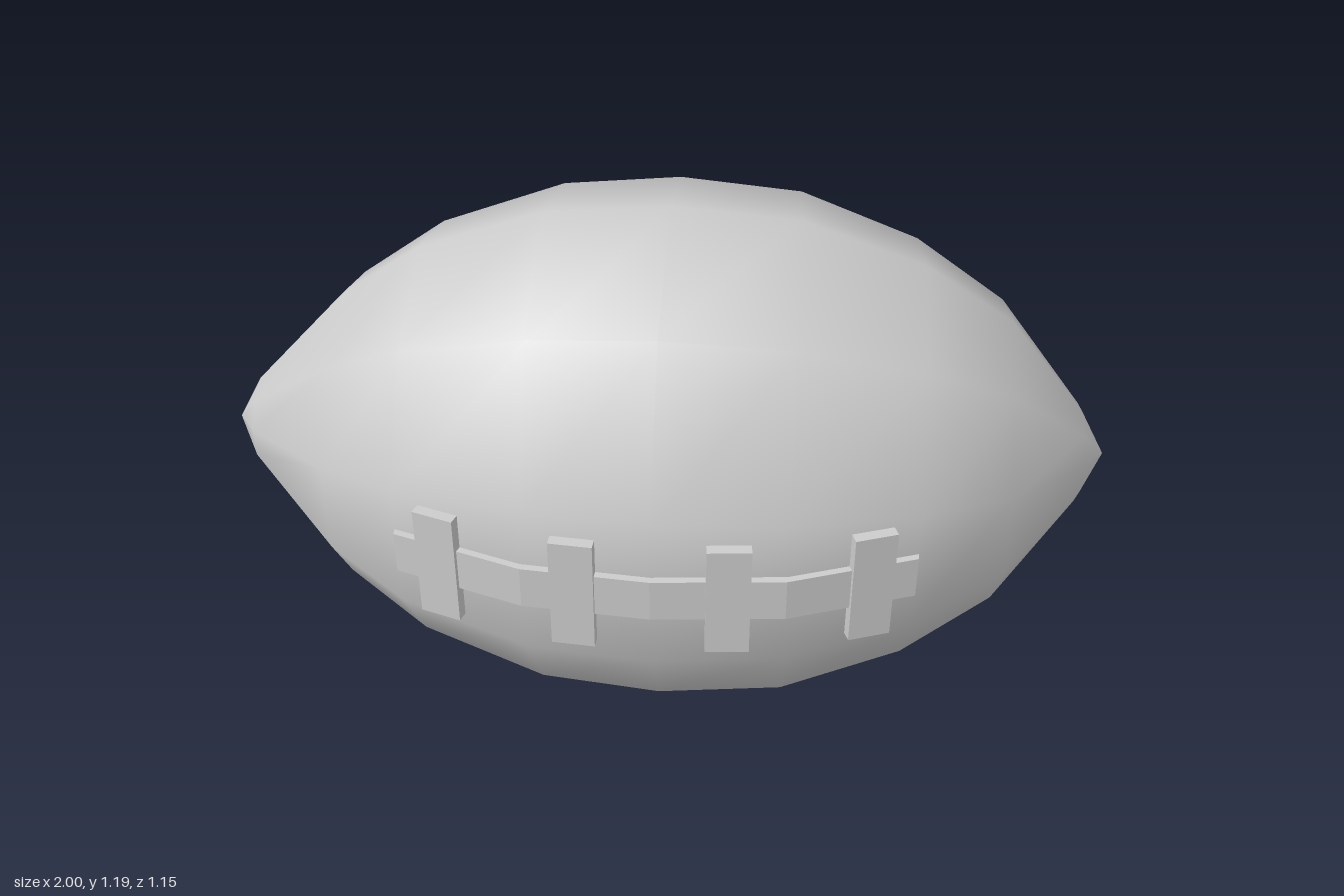
import * as THREE from 'three';

const CENTER_Y = 0.601;
const CENTER_Z = -0.007;
const SIDES = 10;

// Body stations: position along x, radius
const PROFILE = [
  [-1, 0], [-0.94, 0.11], [-0.72, 0.35], [-0.54, 0.475], [-0.26, 0.573], [0.01, 0.597],
  [0.29, 0.573], [0.56, 0.475], [0.76, 0.342], [0.94, 0.112], [1, 0],
];

// Depth of the flat front facet at a given x
function facetZ(x) {
  const i = Math.max(1, PROFILE.findIndex(([px]) => px >= x));
  const [x0, r0] = PROFILE[i - 1];
  const [x1, r1] = PROFILE[i];
  const r = THREE.MathUtils.lerp(r0, r1, (x - x0) / (x1 - x0));
  return r * Math.cos(Math.PI / SIDES) + CENTER_Z;
}

export function createModel() {
  const group = new THREE.Group();
  group.name = 'ball';
  const material = new THREE.MeshStandardMaterial({ color: 0xcccccc });

  const add = (name, geometry) => {
    const mesh = new THREE.Mesh(geometry, material);
    mesh.name = name;
    group.add(mesh);
    return mesh;
  };

  // Pointed ten-sided body lying along x, with a ridge on top and a flat facet in front
  const points = PROFILE.map(([x, r]) => new THREE.Vector2(r, x));
  const bodyGeometry = new THREE.LatheGeometry(points, SIDES, Math.PI / SIDES);
  bodyGeometry.rotateZ(-Math.PI / 2);
  bodyGeometry.translate(0, CENTER_Y, CENTER_Z);
  add('body', bodyGeometry);

  // Long seam strip that follows the front facet
  const stripX = [-0.54, -0.4, -0.26, -0.125, 0.01, 0.15, 0.29, 0.425, 0.56];
  const front = stripX.map((x) => new THREE.Vector2(x, facetZ(x) + 0.016));
  const back = stripX.map((x) => new THREE.Vector2(x, facetZ(x) - 0.004)).reverse();
  const stripHeight = 0.1;
  const stripGeometry = new THREE.ExtrudeGeometry(new THREE.Shape([...front, ...back]), {
    depth: stripHeight, bevelEnabled: false,
  });
  stripGeometry.rotateX(Math.PI / 2);
  stripGeometry.translate(0, CENTER_Y + stripHeight / 2, 0);
  add('seamStrip', stripGeometry);

  // Four upright laces, each turned to lie flat on the curve
  [-0.44, -0.15, 0.17, 0.463].forEach((x, i) => {
    const slope = (facetZ(x + 0.05) - facetZ(x - 0.05)) / 0.1;
    const lace = add(`lace${i + 1}`, new THREE.BoxGeometry(0.092, 0.268, 0.03));
    lace.position.set(x, CENTER_Y, facetZ(x) + 0.01);
    lace.rotation.y = -Math.atan(slope);
  });

  return group;
}
